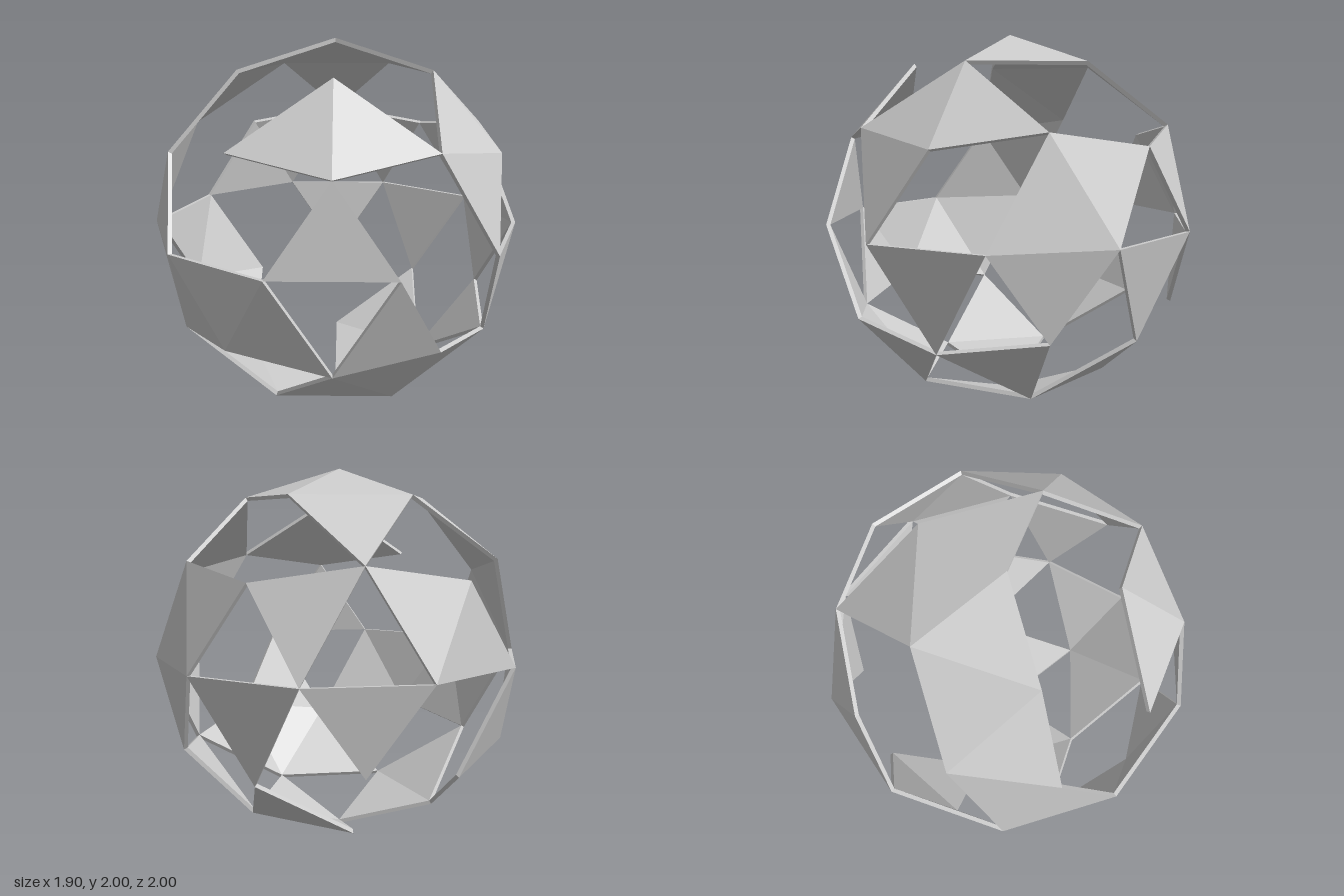
import * as THREE from 'three';

const INNER = 0.978; // inner skin scale, gives the panels their thickness

// Point on the unit sphere from height and compass angle (degrees from +x towards +z)
function point(y, deg) {
  const a = THREE.MathUtils.degToRad(deg), r = Math.sqrt(Math.max(0, 1 - y * y));
  return new THREE.Vector3(r * Math.cos(a), y, r * Math.sin(a));
}

// Named rings of the once-divided icosahedron, five-fold about the y axis
const V = {};
const LOW = 1 / Math.sqrt(5), MID = 0.5257, HIGH = 0.8507;
V.P = point(1, 0);
V.p = point(-1, 0);
for (let k = 0; k < 5; k++) {
  V['A' + k] = point(HIGH, 72 * k);
  V['B' + k] = point(LOW, 72 * k);
  V['C' + k] = point(MID, 72 * k + 36);
  V['a' + k] = point(-HIGH, 72 * k + 36);
  V['b' + k] = point(-LOW, 72 * k + 36);
  V['c' + k] = point(-MID, 72 * k);
}
for (let j = 0; j < 10; j++) V['E' + j] = point(0, 18 + 36 * j);

// Four panels of each large triangle, and the sectors where each panel is kept
const bands = {
  topPanels: [
    [[2, 3, 4], (k, n) => ['P', 'A' + k, 'A' + n]],
    [[0, 1, 2], (k) => ['A' + k, 'B' + k, 'C' + k]],
    [[2, 3], (k, n) => ['A' + k, 'C' + k, 'A' + n]],
    [[0, 4], (k, n) => ['A' + n, 'C' + k, 'B' + n]],
  ],
  upperMiddlePanels: [
    [[0, 2, 3, 4], (k) => ['B' + k, 'C' + k, 'E' + 2 * k]],
    [[3], (k, n) => ['C' + k, 'B' + n, 'E' + (2 * k + 1)]],
    [[4], (k) => ['C' + k, 'E' + 2 * k, 'E' + (2 * k + 1)]],
    [[1, 2, 3, 4], (k) => ['E' + 2 * k, 'E' + (2 * k + 1), 'b' + k]],
  ],
  lowerMiddlePanels: [
    [[1, 2, 3], (k, n, m) => ['B' + k, 'E' + (2 * m + 1), 'E' + 2 * k]],
    [[1, 2, 3], (k, n, m) => ['E' + (2 * m + 1), 'c' + k, 'b' + m]],
    [[0, 2, 4], (k, n, m) => ['E' + 2 * k, 'E' + (2 * m + 1), 'c' + k]],
    [[1], (k) => ['E' + 2 * k, 'c' + k, 'b' + k]],
  ],
  bottomPanels: [
    [[1, 3, 4], (k, n) => ['p', 'a' + k, 'a' + n]],
    [[0, 2, 4], (k, n) => ['a' + k, 'b' + k, 'c' + n]],
    [[0, 1, 3], (k, n) => ['a' + k, 'c' + n, 'a' + n]],
    [[4], (k, n) => ['a' + n, 'c' + n, 'b' + n]],
  ],
};

// List the corner names of a band's panels, wound to face outwards
function listFaces(rules) {
  const faces = [];
  for (const [sectors, corners] of rules) {
    for (const k of sectors) {
      const f = corners(k, (k + 1) % 5, (k + 4) % 5);
      const [a, b, c] = f.map((name) => V[name]);
      const normal = b.clone().sub(a).cross(c.clone().sub(a));
      faces.push(normal.dot(a) > 0 ? f : [f[0], f[2], f[1]]);
    }
  }
  return faces;
}

// Outer skin, inner skin and a rim wall along every open edge
function panelGeometry(faces, edges) {
  const pos = [];
  const tri = (...pts) => pts.forEach((q) => pos.push(q.x, q.y, q.z));
  const inner = (v) => v.clone().multiplyScalar(INNER);
  for (const f of faces) {
    const [a, b, c] = f.map((name) => V[name]);
    tri(a, b, c);
    tri(inner(a), inner(c), inner(b));
    for (let i = 0; i < 3; i++) {
      const s = f[i], t = f[(i + 1) % 3];
      if (edges.has(t + s)) continue;
      tri(V[s], inner(V[s]), inner(V[t]));
      tri(V[s], inner(V[t]), V[t]);
    }
  }
  const g = new THREE.BufferGeometry();
  g.setAttribute('position', new THREE.Float32BufferAttribute(pos, 3));
  g.computeVertexNormals();
  return g;
}

export function createModel() {
  const group = new THREE.Group();
  group.name = 'openFacetedSphere';
  const material = new THREE.MeshStandardMaterial({ color: 0xcccccc, flatShading: true });

  const lists = Object.entries(bands).map(([name, rules]) => [name, listFaces(rules)]);
  const edges = new Set();
  for (const [, faces] of lists) {
    for (const f of faces) f.forEach((s, i) => edges.add(s + f[(i + 1) % 3]));
  }

  for (const [name, faces] of lists) {
    const mesh = new THREE.Mesh(panelGeometry(faces, edges), material);
    mesh.name = name;
    mesh.position.y = 1;
    group.add(mesh);
  }
  return group;
}
